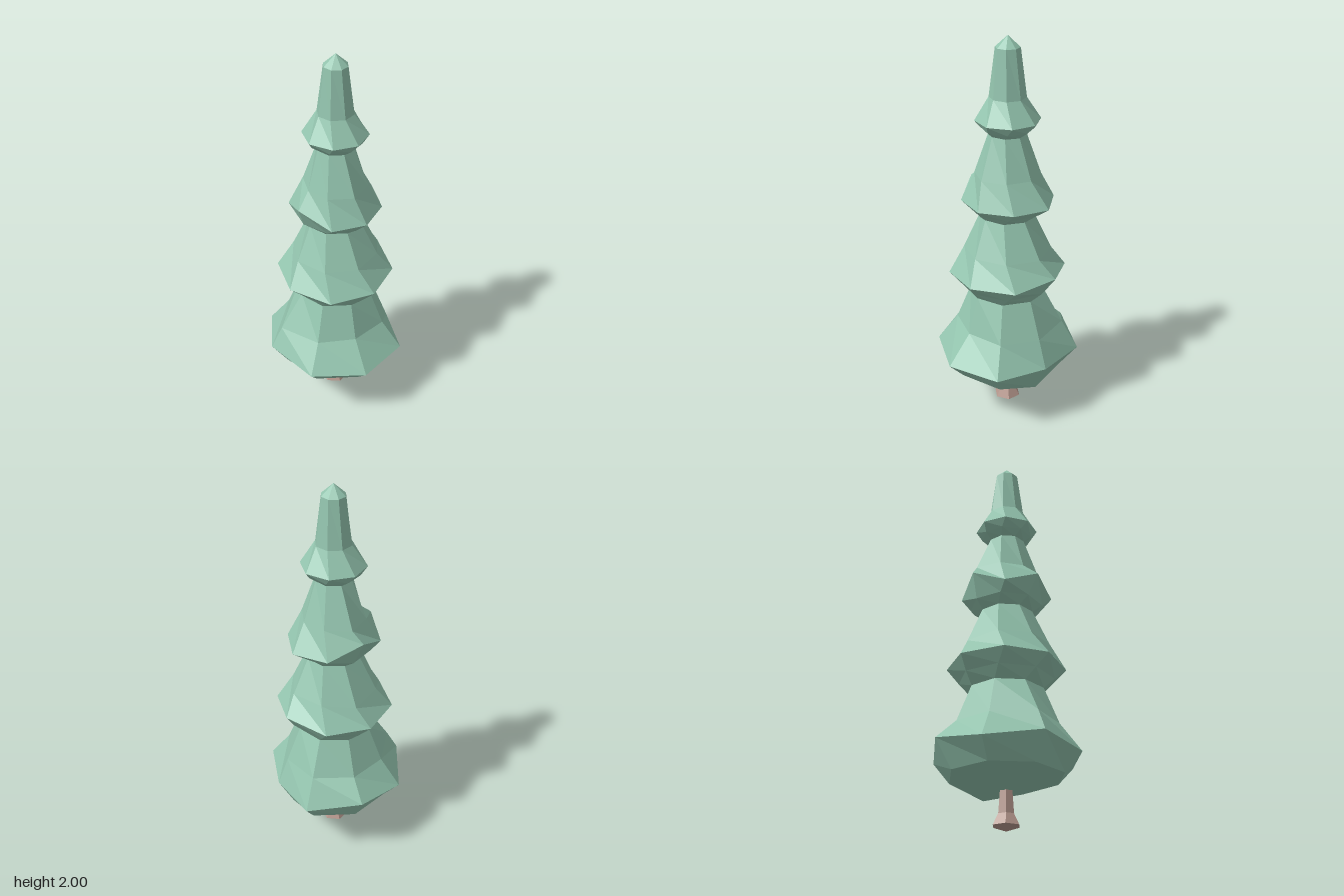
import * as THREE from 'three';

const CENTRE_X = 0.025;

// Lofts rings listed from bottom to top. Each ring has a height y, radius r,
// twist in degrees, and optional per-corner changes: { index: [dr, dy] }.
function loft(rings, sides) {
  const rows = rings.map(({ y, r, twist = 0, shift = {} }) =>
    Array.from({ length: sides }, (_, i) => {
      const [dr, dy] = shift[i] || [0, 0];
      const a = (i / sides) * Math.PI * 2 - THREE.MathUtils.degToRad(twist);
      return [CENTRE_X + Math.sin(a) * (r + dr), y + dy, -Math.cos(a) * (r + dr)];
    }));
  const pos = [];
  for (let k = 0; k < rows.length - 1; k++) {
    for (let i = 0; i < sides; i++) {
      const j = (i + 1) % sides;
      const [a, b, c, d] = [rows[k][j], rows[k][i], rows[k + 1][i], rows[k + 1][j]];
      if (rings[k].r > 0) pos.push(...a, ...b, ...d);
      if (rings[k + 1].r > 0) pos.push(...b, ...c, ...d);
    }
  }
  const geo = new THREE.BufferGeometry();
  geo.setAttribute('position', new THREE.Float32BufferAttribute(pos, 3));
  geo.computeVertexNormals();
  return geo;
}

function part(name, geo, color) {
  const mesh = new THREE.Mesh(geo, new THREE.MeshStandardMaterial({ color, flatShading: true }));
  mesh.name = name;
  return mesh;
}

export function createModel() {
  const tree = new THREE.Group();
  tree.name = 'pineTree';

  // Trunk with a flared, pointed foot
  tree.add(part('trunk', loft([
    { y: 0.005, r: 0 },
    { y: 0.03, r: 0.07 },
    { y: 0.085, r: 0.042 },
    { y: 0.24, r: 0.03 },
  ], 6), 0xb8998e));

  // Foliage: four stacked skirts joined at narrow waists
  tree.add(part('foliage', loft([
    // bottom skirt
    { y: 0.185, r: 0 },
    { y: 0.26, r: 0.285, shift: { 2: [-0.045, -0.06], 1: [0, -0.01], 3: [0, -0.01] } },
    { y: 0.355, r: 0.37, shift: { 0: [0, 0.045], 2: [-0.05, 0], 4: [0, -0.005], 6: [0, 0.035] } },
    { y: 0.5, r: 0.265, shift: { 6: [0.045, 0], 4: [-0.02, 0], 1: [0.02, 0.01] } },
    { y: 0.69, r: 0.19 },
    // second skirt
    { y: 0.745, r: 0.24, twist: 8 },
    { y: 0.81, r: 0.297, twist: 15, shift: { 2: [0, 0.025], 5: [0, -0.01] } },
    { y: 0.93, r: 0.218, twist: 6, shift: { 0: [0.01, -0.02], 2: [0.01, 0] } },
    { y: 1.11, r: 0.137 },
    // third skirt
    { y: 1.15, r: 0.185, twist: 8 },
    { y: 1.195, r: 0.23, twist: 15, shift: { 0: [0, 0.075], 2: [0.018, 0], 6: [0, 0.065] } },
    { y: 1.33, r: 0.162, twist: 6, shift: { 0: [0.02, 0], 4: [0.01, 0], 6: [-0.01, 0] } },
    { y: 1.53, r: 0.093 },
    // top skirt and tip
    { y: 1.56, r: 0.13, twist: 7 },
    { y: 1.6, r: 0.16, twist: 15 },
    { y: 1.71, r: 0.09, twist: 4 },
    { y: 1.945, r: 0.06 },
    { y: 2.0, r: 0 },
  ], 8), 0x93c4ae));

  return tree;
}
